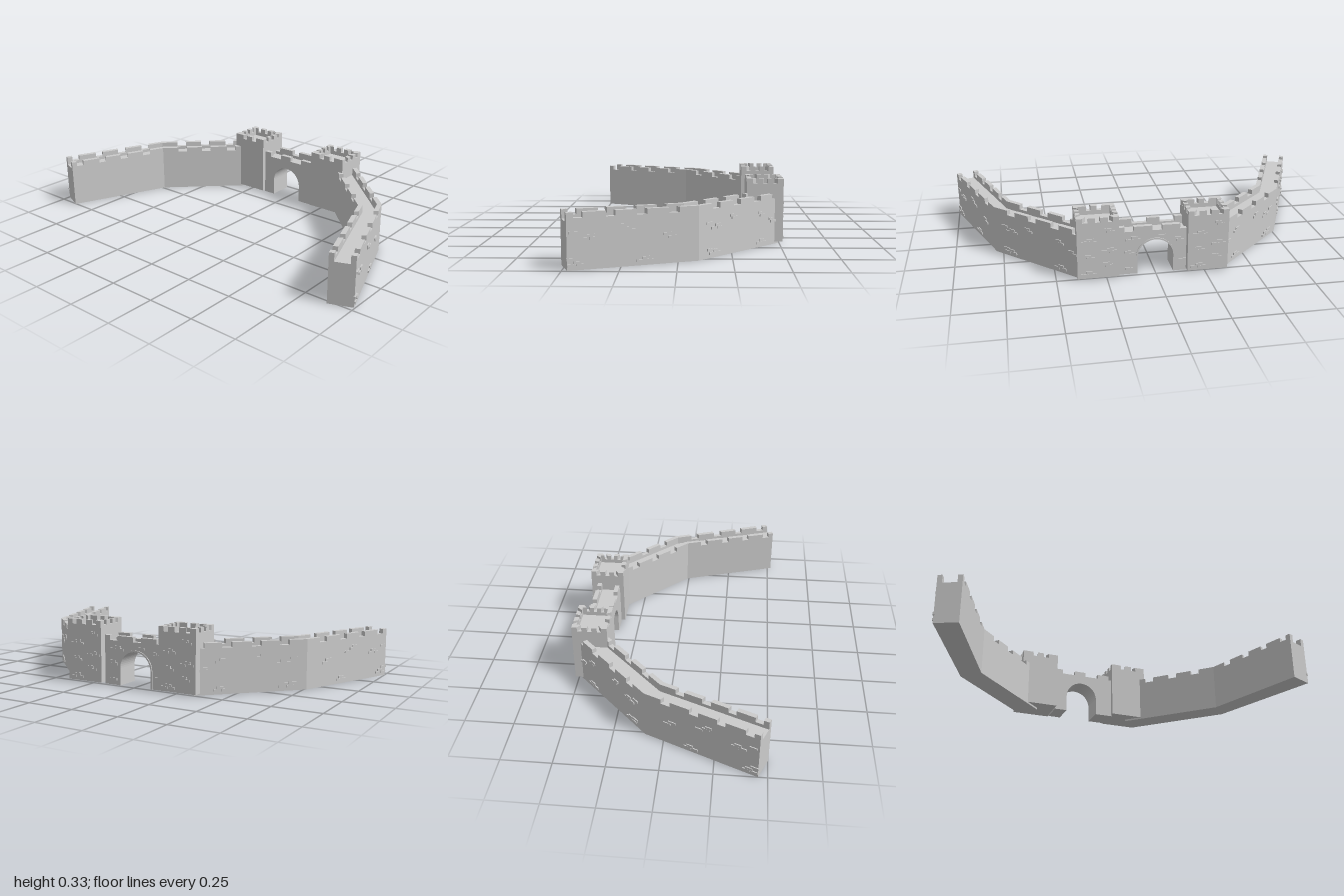
import * as THREE from 'three';

const material = new THREE.MeshStandardMaterial({ color: 0xcccccc, flatShading: true });

// Points are plan positions [x, z]
const mix = (a, b, t) => [a[0] + (b[0] - a[0]) * t, a[1] + (b[1] - a[1]) * t];

function add(parent, name, geometry) {
  const mesh = new THREE.Mesh(geometry, material);
  mesh.name = name;
  parent.add(mesh);
  return mesh;
}

// Upright prism standing on a plan polygon
function prism(parent, name, plan, y0, y1) {
  const shape = new THREE.Shape(plan.map(([x, z]) => new THREE.Vector2(x, -z)));
  const g = new THREE.ExtrudeGeometry(shape, { depth: y1 - y0, bevelEnabled: false });
  g.rotateX(-Math.PI / 2);
  g.translate(0, y0, 0);
  return add(parent, name, g);
}

// Merlons over the strip between edges a-b and c-d; spans are [start, end] fractions
function merlons(parent, a, b, c, d, spans, y0, y1) {
  for (const [s, e] of spans) {
    prism(parent, 'merlon', [mix(a, b, s), mix(a, b, e), mix(c, d, e), mix(c, d, s)], y0, y1);
  }
}

// Evenly spaced merlons that start and end the edge
function evenSpans(count, gap) {
  const w = (1 - gap * (count - 1)) / count;
  return Array.from({ length: count }, (_, i) => [i * (w + gap), i * (w + gap) + w]);
}

// Clusters of slightly raised bricks on the face above a-b; spots are [fraction, y, count]
function bricks(parent, a, b, spots) {
  const length = Math.hypot(b[0] - a[0], b[1] - a[1]);
  const angle = -Math.atan2(b[1] - a[1], b[0] - a[0]);
  const pattern = [[0, 0, 0.04], [0.014, 0.0125, 0.034], [0.04, 0, 0.036]];
  for (const [f, y, count] of spots) {
    for (const [dx, dy, w] of pattern.slice(0, count)) {
      const p = mix(a, b, f + dx / length);
      const brick = add(parent, 'raisedBrick', new THREE.BoxGeometry(w, 0.012, 0.01));
      brick.position.set(p[0], y + dy, p[1]);
      brick.rotation.y = angle;
    }
  }
}

// Bent wall with a walkway between two parapets
function wing(name, outer, inner) {
  const group = new THREE.Group();
  group.name = name;
  prism(group, 'wallBody', [...outer, ...[...inner].reverse()], 0, 0.213);

  const t = 0.2;
  const outerLip = outer.map((p, i) => mix(p, inner[i], t));
  const innerLip = inner.map((p, i) => mix(p, outer[i], t));
  for (const [edge, lip] of [[outer, outerLip], [inner, innerLip]]) {
    prism(group, 'parapet', [...edge, ...[...lip].reverse()], 0.213, 0.23);
    for (let i = 0; i < 2; i++) {
      const spans = i === 0
        ? [[0.09, 0.24], [0.33, 0.5], [0.59, 0.75], [0.84, 1]]
        : [[0, 0.15], [0.23, 0.4], [0.48, 0.64], [0.71, 0.88], [0.95, 1]];
      merlons(group, edge[i], edge[i + 1], lip[i], lip[i + 1], spans, 0.23, 0.255);
    }
  }

  bricks(group, outer[0], outer[1], [
    [0.08, 0.12, 2], [0.22, 0.16, 2], [0.2, 0.022, 3], [0.58, 0.172, 2],
    [0.76, 0.14, 3], [0.88, 0.165, 1], [0.78, 0.022, 3], [0.87, 0.04, 1],
  ]);
  bricks(group, outer[1], outer[2], [
    [0.21, 0.122, 1], [0.25, 0.137, 1], [0.39, 0.022, 3], [0.49, 0.162, 1],
    [0.55, 0.175, 2], [0.8, 0.138, 3], [0.9, 0.022, 3], [0.95, 0.167, 1], [0.97, 0.05, 1],
  ]);
  return group;
}

// Square tower with a crenellated roof terrace
function tower(name, x0, x1) {
  const group = new THREE.Group();
  group.name = name;
  const z0 = -0.517, z1 = -0.334, t = 0.024;
  const rect = (d) => [[x0 + d, z0 + d], [x1 - d, z0 + d], [x1 - d, z1 - d], [x0 + d, z1 - d]];
  const out = rect(0), inn = rect(t);
  prism(group, 'towerBody', out, 0.01, 0.285);

  const front = [[0, 0.27], [0.41, 0.59], [0.73, 1]];
  const back = [[0, 0.14], [0.26, 0.44], [0.56, 0.74], [0.86, 1]];
  const sides = [back, evenSpans(4, 0.125), front, evenSpans(4, 0.125)];
  sides.forEach((spans, i) => {
    const j = (i + 1) % 4;
    prism(group, 'parapet', [out[i], out[j], inn[j], inn[i]], 0.285, 0.306);
    merlons(group, out[i], out[j], inn[i], inn[j], spans, 0.306, 0.33);
  });

  bricks(group, out[0], out[1], [
    [0.2, 0.255, 2], [0.62, 0.205, 3], [0.15, 0.15, 3],
    [0.68, 0.12, 2], [0.25, 0.075, 2], [0.65, 0.03, 3],
  ]);
  return group;
}

// Arch outline, with a semicircular head over straight legs
function archPath(path, r, spring) {
  path.lineTo(r, 0);
  path.lineTo(r, spring);
  path.absarc(0, spring, r, 0, Math.PI, false);
  path.lineTo(-r, 0);
}

function gate(x0, x1) {
  const group = new THREE.Group();
  group.name = 'gatehouse';
  const z0 = -0.482, z1 = -0.356, t = 0.024, r = 0.091, spring = 0.09;

  // Wall pierced by the archway
  const shape = new THREE.Shape();
  shape.moveTo(x0, 0);
  shape.lineTo(x0, 0.213);
  shape.lineTo(x1, 0.213);
  shape.lineTo(x1, 0);
  archPath(shape, r, spring);
  shape.closePath();
  const wall = new THREE.ExtrudeGeometry(shape, { depth: z1 - z0, bevelEnabled: false, curveSegments: 14 });
  add(group, 'archWall', wall.translate(0, 0, z0));

  // Raised trim round the rear of the archway
  const trim = new THREE.Shape();
  trim.moveTo(r + 0.008, 0);
  trim.lineTo(r + 0.008, spring);
  trim.absarc(0, spring, r + 0.008, 0, Math.PI, false);
  trim.lineTo(-r - 0.008, 0);
  trim.lineTo(-r, 0);
  trim.lineTo(-r, spring);
  trim.absarc(0, spring, r, Math.PI, 0, true);
  trim.lineTo(r, 0);
  const rim = new THREE.ExtrudeGeometry(trim, { depth: 0.008, bevelEnabled: false, curveSegments: 14 });
  add(group, 'archTrim', rim.translate(0, 0, z0 - 0.005));

  // Parapets with staggered merlons front and back
  const frontSpans = [[0, 0.12], [0.34, 0.53], [0.75, 0.95]];
  const backSpans = [[0.1, 0.36], [0.5, 0.77], [0.9, 1]];
  for (const [z, inside, spans] of [[z1, z1 - t, frontSpans], [z0, z0 + t, backSpans]]) {
    const a = [x0, z], b = [x1, z], c = [x0, inside], d = [x1, inside];
    prism(group, 'parapet', [a, b, d, c], 0.213, 0.23);
    merlons(group, a, b, c, d, spans, 0.23, 0.255);
  }
  bricks(group, [x0, z0], [x1, z0], [
    [0.1, 0.17, 2], [0.06, 0.06, 1], [0.72, 0.185, 3], [0.82, 0.11, 2], [0.84, 0.03, 1], [0.36, 0.2, 1],
  ]);
  return group;
}

export function createModel() {
  const model = new THREE.Group();
  model.name = 'castleWall';
  model.add(
    gate(-0.16, 0.19),
    tower('rightTower', -0.366, -0.158),
    tower('leftTower', 0.187, 0.396),
    wing('leftWing',
      [[0.375, -0.495], [0.785, -0.094], [0.995, 0.475]],
      [[0.295, -0.405], [0.7, -0.008], [0.88, 0.52]]),
    wing('rightWing',
      [[-0.345, -0.495], [-0.762, -0.094], [-1.0, 0.455]],
      [[-0.255, -0.405], [-0.67, -0.01], [-0.888, 0.503]]),
  );
  return model;
}
